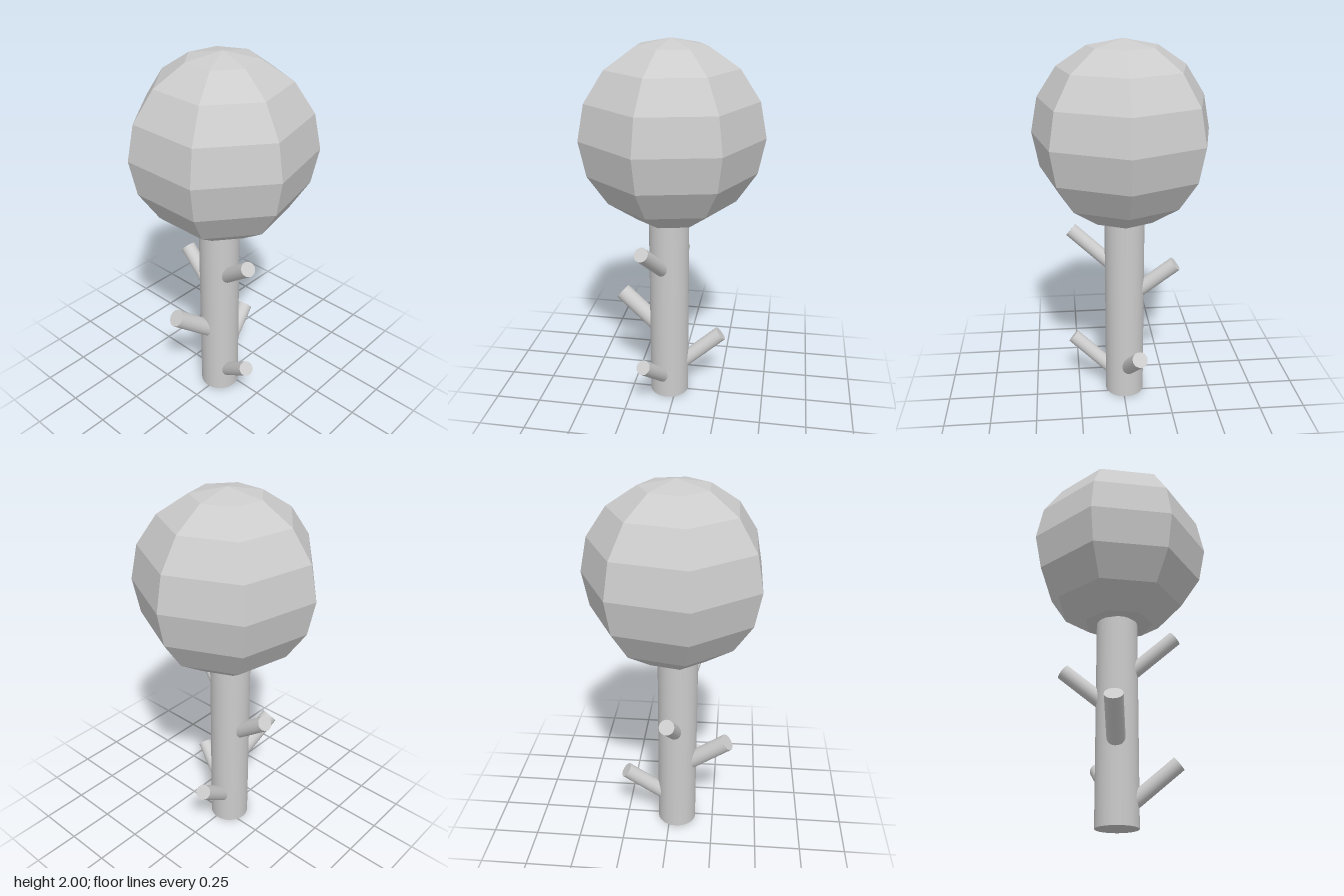
import * as THREE from 'three';

export function createModel() {
  const model = new THREE.Group();
  const smooth = new THREE.MeshStandardMaterial({ color: 0xcccccc });
  const faceted = new THREE.MeshStandardMaterial({ color: 0xcccccc, flatShading: true });
  const trunkX = -0.04, trunkZ = -0.01;

  // Round trunk, running a little way into the crown
  const trunkHeight = 1.15;
  const trunk = new THREE.Mesh(new THREE.CylinderGeometry(0.108, 0.108, trunkHeight, 32), smooth);
  trunk.position.set(trunkX, trunkHeight / 2, trunkZ);
  trunk.name = 'trunk';
  model.add(trunk);

  // Faceted seven-sided crown with one corner towards +x
  const crown = new THREE.Mesh(new THREE.SphereGeometry(0.48, 7, 8), faceted);
  crown.position.set(-0.024, 1.52, 0);
  crown.rotation.y = Math.PI;
  crown.name = 'crown';
  model.add(crown);

  // Cut branch stubs, each rising from the trunk's axis to its tip
  const up = new THREE.Vector3(0, 1, 0);
  function addBranch(name, tip, startY, radius) {
    const start = new THREE.Vector3(trunkX, startY, trunkZ);
    const end = new THREE.Vector3(...tip);
    const axis = end.clone().sub(start);
    const branch = new THREE.Mesh(
      new THREE.CylinderGeometry(radius, radius, axis.length(), 24), smooth);
    branch.position.copy(start).add(end).multiplyScalar(0.5);
    branch.quaternion.setFromUnitVectors(up, axis.normalize());
    branch.name = name;
    model.add(branch);
  }
  addBranch('lowerFrontBranch', [-0.135, 0.3, 0.278], 0.06, 0.039);
  addBranch('upperFrontBranch', [-0.135, 0.966, 0.278], 0.726, 0.039);
  addBranch('leftBranch', [0.246, 0.349, -0.068], 0.115, 0.042);
  addBranch('rightBranch', [-0.32, 0.574, -0.07], 0.35, 0.047);
  addBranch('backBranch', [-0.005, 0.794, -0.286], 0.572, 0.041);

  return model;
}
